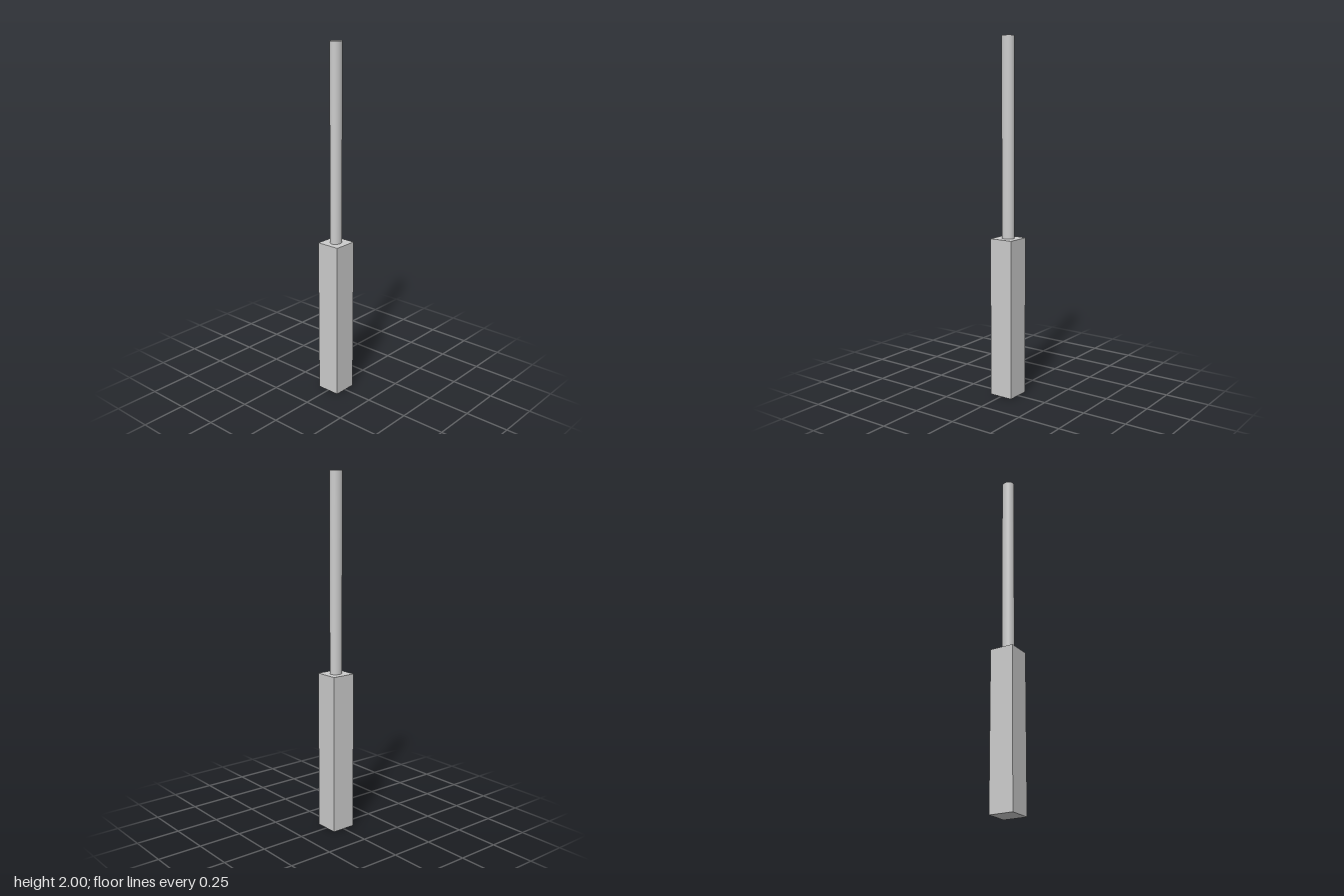
import * as THREE from 'three';

export function createModel() {
  const model = new THREE.Group();
  const material = new THREE.MeshStandardMaterial({ color: 0xcccccc });

  const baseHeight = 0.9;
  const baseWidth = 0.139;
  const rodHeight = 2 - baseHeight;

  // Square base block
  const base = new THREE.Mesh(new THREE.BoxGeometry(baseWidth, baseHeight, baseWidth), material);
  base.name = 'base';
  base.position.y = baseHeight / 2;
  model.add(base);

  // Upright rod with a slightly oval section, deeper than wide
  const rodGeometry = new THREE.CylinderGeometry(1, 1, rodHeight, 64);
  rodGeometry.scale(0.031, 1, 0.036);
  const rod = new THREE.Mesh(rodGeometry, material);
  rod.name = 'rod';
  rod.position.y = baseHeight + rodHeight / 2;
  model.add(rod);

  return model;
}
